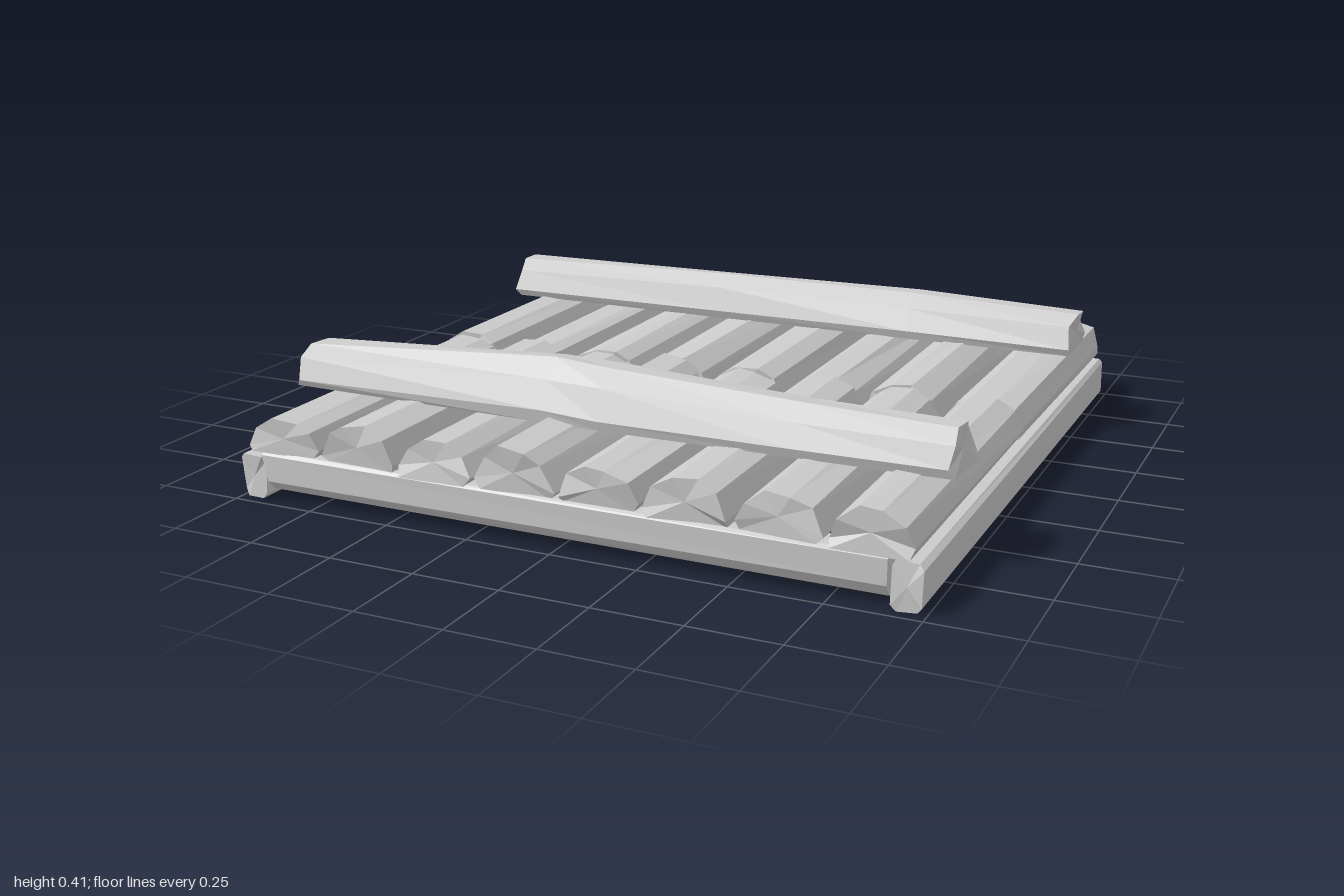
import * as THREE from 'three';

const material = new THREE.MeshStandardMaterial({ color: 0xcccccc, flatShading: true, side: THREE.DoubleSide });

// small seeded generator, returns -1..1
let seed = 7;
const jitter = () => {
  seed = (seed * 16807) % 2147483647;
  return (seed / 2147483647) * 2 - 1;
};

// Skin rings of 3D points (counter-clockwise seen from the far end) and cap both ends.
function loft(name, rings) {
  const pos = [];
  const n = rings[0].length;
  const tri = (a, b, c) => pos.push(...a, ...b, ...c);
  for (let r = 0; r < rings.length - 1; r++) {
    for (let i = 0; i < n; i++) {
      const j = (i + 1) % n;
      const [a, b, c, d] = [rings[r][i], rings[r][j], rings[r + 1][j], rings[r + 1][i]];
      tri(a, b, c);
      tri(a, c, d);
    }
  }
  const mean = (ring) => [0, 1, 2].map((k) => ring.reduce((s, p) => s + p[k], 0) / n);
  const first = rings[0], last = rings[rings.length - 1];
  const c0 = mean(first), c1 = mean(last);
  for (let i = 0; i < n; i++) {
    const j = (i + 1) % n;
    tri(c0, first[j], first[i]);
    tri(c1, last[i], last[j]);
  }
  const geometry = new THREE.BufferGeometry();
  geometry.setAttribute('position', new THREE.Float32BufferAttribute(pos, 3));
  geometry.computeVertexNormals();
  const mesh = new THREE.Mesh(geometry, material);
  mesh.name = name;
  return mesh;
}

// Split-log cross-section: unit half width, unit height, flat underside
const LOG = [[-0.9, 0], [0.9, 0], [1, 0.2], [0.74, 0.72], [0.3, 0.96], [-0.3, 0.98], [-0.76, 0.7], [-1, 0.2]];

// One half log along z; the outer end is chipped
function halfLog(x, halfWidth, base, height, z0, z1) {
  const shape = LOG.map(([u, v]) => [
    x + halfWidth * u + jitter() * 0.008,
    base + height * v + (v > 0 ? jitter() * 0.008 : 0),
  ]);
  const outerIsStart = Math.abs(z0) > Math.abs(z1);
  const ring = (z, outer) => shape.map(([px, py]) => [
    px + jitter() * 0.006,
    py + jitter() * 0.004,
    z + (outer ? -Math.sign(z) * Math.abs(jitter()) * 0.025 : jitter() * 0.008),
  ]);
  return loft('deckLog', [ring(z0, outerIsStart), ring(z1, !outerIsStart)]);
}

// Cross log along x; stations are [x, z centre, half width, height, ridge shift]
function crossLog(name, base, stations) {
  const rings = stations.map(([x, zc, w, h, ridge], s) => LOG.map(([u, v]) => {
    const end = s === 0 ? 1 : s === stations.length - 1 ? -1 : 0;
    return [
      x + end * Math.abs(jitter()) * 0.03,
      base + h * v + (v > 0 ? jitter() * 0.005 : 0),
      zc - w * u - ridge * v,
    ];
  }));
  return loft(name, rings);
}

// Squared timber along z or x with chamfered lower corners and rough ends
function timber(name, length, width, y0, y1, chamfer) {
  const w = width / 2;
  const shape = [[-w + chamfer, y0], [w - chamfer, y0], [w, y0 + chamfer * 1.5], [w, y1 - 0.01],
    [w - 0.01, y1], [-w + 0.01, y1], [-w, y1 - 0.01], [-w, y0 + chamfer * 1.5]];
  const ring = (z) => shape.map(([x, y]) => [x + jitter() * 0.003, y + jitter() * 0.003, z + jitter() * 0.01]);
  return loft(name, [ring(-length / 2), ring(length / 2)]);
}

export function createModel() {
  seed = 7;
  const group = new THREE.Group();
  group.name = 'logDeck';

  // frame: side rails
  for (const side of [-1, 1]) {
    const rail = timber(side > 0 ? 'leftRail' : 'rightRail', 1.94, 0.08, 0.005, 0.13, 0.012);
    rail.position.x = side * 0.95;
    group.add(rail);
  }
  // frame: front, middle and back rails
  for (const [name, z, width] of [['frontRail', 0.932, 0.09], ['middleRail', -0.005, 0.11], ['backRail', -0.94, 0.09]]) {
    const rail = timber(name, 1.82, width, 0.03, 0.143, 0.022);
    rail.rotation.y = Math.PI / 2;
    rail.position.z = z;
    group.add(rail);
  }

  // deck: eight rows of split logs, each made of a front and a back piece
  const tops = [0.25, 0.263, 0.25, 0.267, 0.25, 0.26, 0.255, 0.255];
  const deck = new THREE.Group();
  deck.name = 'deck';
  tops.forEach((top, i) => {
    const x = -0.846 + i * 0.2435;
    deck.add(halfLog(x, 0.113, 0.14, top - 0.14, 0, 0.985));
    deck.add(halfLog(x + jitter() * 0.008, 0.115, 0.14, 0.115, -0.995, 0));
  });
  group.add(deck);

  // two cross logs lying over the deck
  group.add(crossLog('frontCrossLog', 0.252, [
    [-0.995, 0.605, 0.105, 0.115, 0], [-0.18, 0.613, 0.112, 0.16, 0.025],
    [0.0, 0.617, 0.113, 0.15, 0.02], [0.55, 0.61, 0.108, 0.13, 0.01], [0.99, 0.61, 0.1, 0.12, 0],
  ]));
  group.add(crossLog('backCrossLog', 0.252, [
    [-0.995, -0.62, 0.107, 0.12, 0], [-0.2, -0.62, 0.112, 0.135, 0],
    [0.45, -0.62, 0.112, 0.137, 0.01], [0.99, -0.62, 0.105, 0.12, 0],
  ]));
  return group;
}
